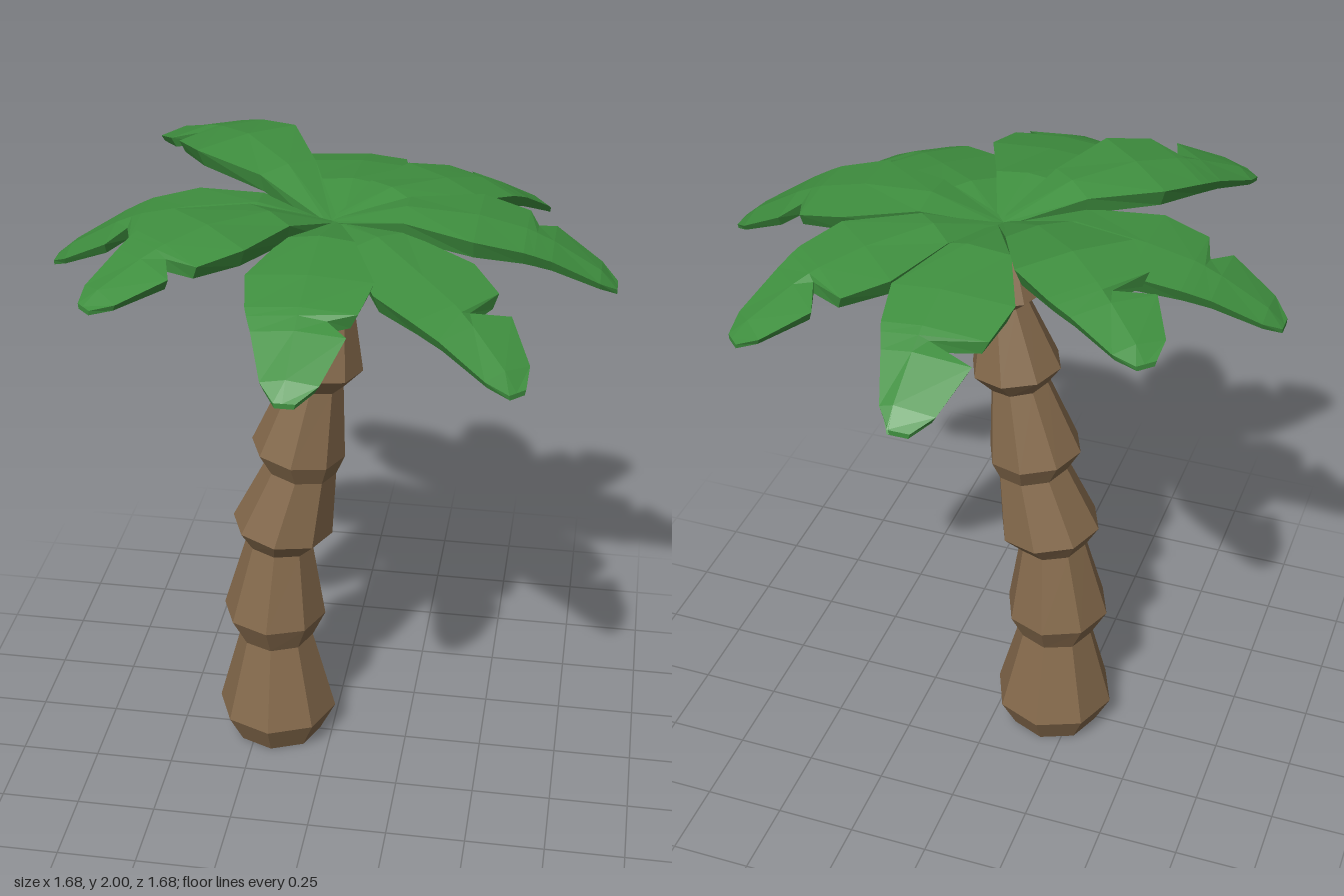
import * as THREE from 'three';

const bark = new THREE.MeshStandardMaterial({ color: 0x856a4c });
bark.name = 'barkBrown';
const green = new THREE.MeshStandardMaterial({ color: 0x3f8f3f });
green.name = 'leafGreen';

// Joins equal-length cross-section loops into a closed, flat-faceted solid
function skin(loops) {
  const n = loops[0].length;
  const index = [];
  for (let r = 0; r < loops.length - 1; r++) {
    for (let i = 0; i < n; i++) {
      const a = r * n + i, b = r * n + (i + 1) % n;
      index.push(a, b, b + n, a, b + n, a + n);
    }
  }
  const last = (loops.length - 1) * n;
  for (let i = 1; i < n - 1; i++) {
    index.push(0, i + 1, i, last, last + i, last + i + 1);
  }
  const geo = new THREE.BufferGeometry();
  geo.setAttribute('position', new THREE.Float32BufferAttribute(loops.flat(2), 3));
  geo.setIndex(index);
  const flat = geo.toNonIndexed();
  flat.computeVertexNormals();
  return flat;
}

// Trunk rings: centre x, height, radius, tilt (left side higher)
const TRUNK = [
  [-0.185, 0, 0.145, 0],
  [-0.185, 0.1, 0.195, 0],
  [-0.185, 0.38, 0.12, 0],
  [-0.19, 0.475, 0.167, 0.005],
  [-0.17, 0.735, 0.107, 0.01],
  [-0.16, 0.8, 0.16, 0.02],
  [-0.1, 1.015, 0.112, 0.015],
  [-0.107, 1.085, 0.147, 0.02],
  [-0.055, 1.325, 0.09, 0.015],
  [-0.045, 1.385, 0.14, 0.015],
  [-0.008, 1.605, 0.073, 0.01],
  [-0.01, 1.65, 0.124, 0.01],
  [0, 1.86, 0.05, 0],
];

function trunkGeometry() {
  return skin(TRUNK.map(([cx, y, r, tilt]) => {
    const loop = [];
    for (let i = 0; i < 8; i++) {
      const a = (i / 8) * Math.PI * 2;
      loop.push([cx + r * Math.cos(a), y - tilt * Math.cos(a), -0.01 - r * Math.sin(a)]);
    }
    return loop;
  }));
}

// Leaf running along +z with a torn notch on its +x edge
function leafGeometry(midY, tipY, notch) {
  const rows = [ // distance, +x width, -x width
    [0, 0.02, 0.02], [0.22, 0.1, 0.1], [0.43, 0.185, 0.175], [0.57, 0.16, 0.15],
    [0.6, notch, 0.14], [0.65, 0.14, 0.12], [0.79, 0.09, 0.07], [0.84, 0.035, 0.025],
  ];
  const baseY = 1.86;
  return skin(rows.map(([u, right, left]) => {
    let y;
    if (u <= 0.43) {
      const t = u / 0.43;
      y = baseY + (midY - baseY) * t + 0.03 * Math.sin(t * Math.PI);
    } else {
      y = midY + (tipY - midY) * Math.pow((u - 0.43) / 0.41, 1.6);
    }
    const thick = u <= 0.43 ? 0.055 : 0.055 - 0.04 * (u - 0.43) / 0.41;
    const spine = Math.min(0, notch - 0.03);
    const crest = u > 0 && u < 0.8 ? 0.012 : 0;
    const k = 0.87; // underside is narrower
    return [
      [right, y, u], [spine, y + crest, u], [-left, y, u],
      [-left * k, y - thick, u], [spine, y - thick + crest, u], [right * k, y - thick, u],
    ];
  }));
}

// Leaves every 45 degrees from the front: mid height, tip height, notch reach
const LEAVES = [
  [1.87, 1.70, 0.08],
  [1.83, 1.65, 0.03],
  [1.895, 1.71, 0.08],
  [1.88, 1.70, 0.03],
  [1.87, 1.69, 0],
  [1.985, 1.88, 0.03],
  [1.865, 1.69, 0.06],
  [1.945, 1.82, 0.05],
];

export function createModel() {
  const model = new THREE.Group();
  model.name = 'palmTree';

  const trunk = new THREE.Mesh(trunkGeometry(), bark);
  trunk.name = 'trunk';
  model.add(trunk);

  const crown = new THREE.Group();
  crown.name = 'crown';
  LEAVES.forEach(([midY, tipY, notch], i) => {
    const leaf = new THREE.Mesh(leafGeometry(midY, tipY, notch), green);
    leaf.name = 'leaf' + (i + 1);
    leaf.rotation.y = (i * Math.PI) / 4;
    crown.add(leaf);
  });
  model.add(crown);
  return model;
}
